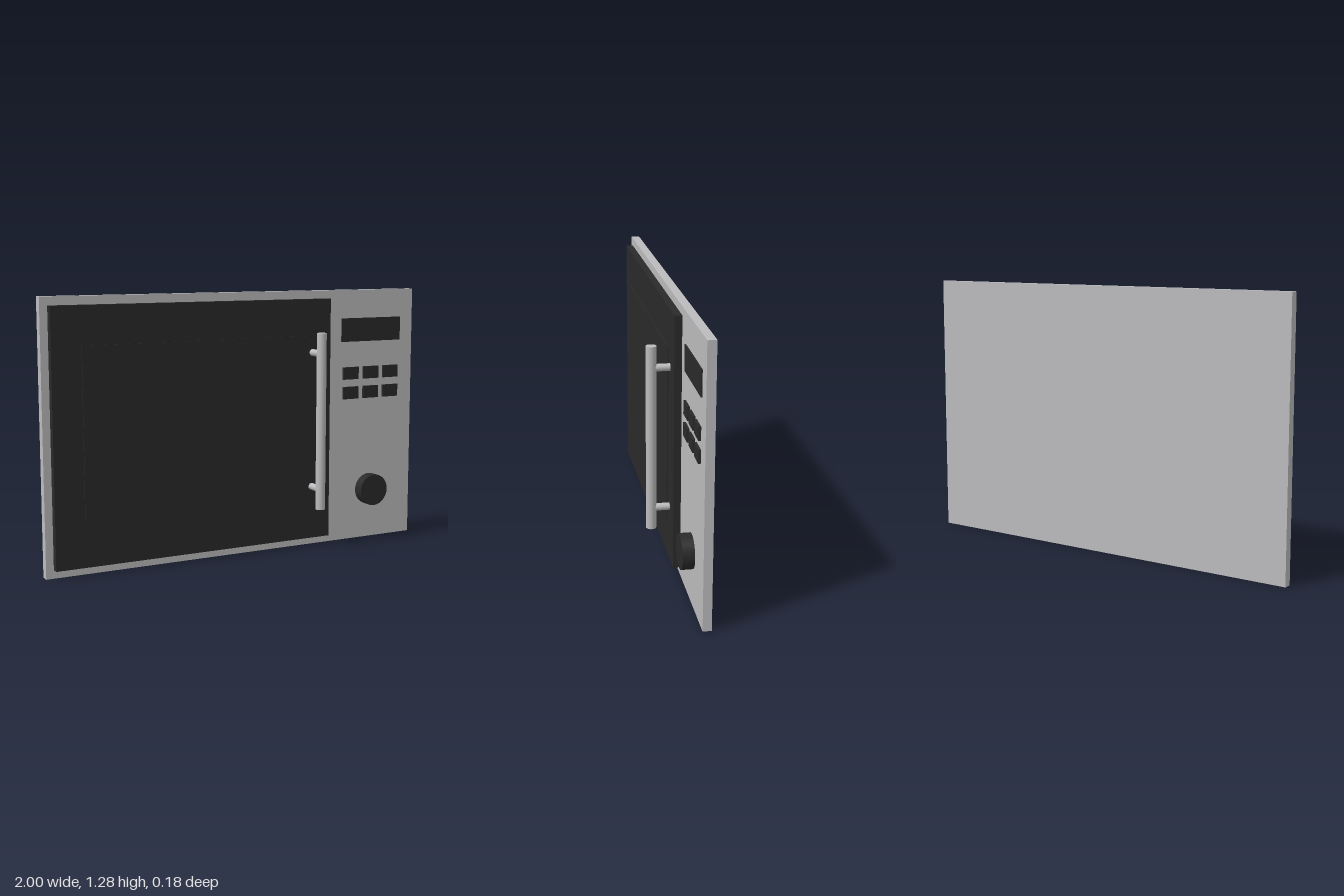
import * as THREE from 'three';

export function createModel() {
  const model = new THREE.Group();
  model.name = 'microwaveFront';

  const steel = new THREE.MeshStandardMaterial({ color: 0xbcbcbe });
  steel.name = 'brushedSteel';
  const black = new THREE.MeshStandardMaterial({ color: 0x2a2a2a });
  black.name = 'blackGlass';

  const add = (name, geometry, material, x, y, z) => {
    const mesh = new THREE.Mesh(geometry, material);
    mesh.name = name;
    mesh.position.set(x, y, z);
    model.add(mesh);
    return mesh;
  };

  // Box given by its limits on each axis
  const box = (name, material, [x0, x1], [y0, y1], [z0, z1]) =>
    add(name, new THREE.BoxGeometry(x1 - x0, y1 - y0, z1 - z0), material,
      (x0 + x1) / 2, (y0 + y1) / 2, (z0 + z1) / 2);

  // Cylinder lying along z
  const rod = (name, material, radius, x, y, z0, z1) => {
    const geometry = new THREE.CylinderGeometry(radius, radius, z1 - z0, 48);
    geometry.rotateX(Math.PI / 2);
    return add(name, geometry, material, x, y, (z0 + z1) / 2);
  };

  const face = -0.051; // front plane of the steel panel
  const doorFront = -0.017;

  // Panel, door and raised window
  box('frontPanel', steel, [-1, 1], [0, 1.28], [-0.091, face]);
  box('door', black, [-0.963, 0.485], [0.04, 1.24], [face, doorFront]);
  box('doorWindow', black, [-0.82, 0.34], [0.22, 1.06], [doorFront, -0.012]);

  // Bar handle on two posts
  const handleX = 0.382;
  add('handleBar', new THREE.CylinderGeometry(0.024, 0.024, 0.875, 32), steel, handleX, 0.642, 0.068);
  for (const y of [0.305, 0.978]) rod('handlePost', steel, 0.017, handleX, y, doorFront, 0.055);

  // Control column: display, two rows of three buttons, knob
  box('display', black, [0.57, 0.923], [1.02, 1.138], [face, -0.045]);
  for (const y of [0.76, 0.86]) {
    for (const x of [0.626, 0.746, 0.866]) {
      box('button', black, [x - 0.045, x + 0.045], [y - 0.031, y + 0.031], [face, -0.04]);
    }
  }
  rod('knob', black, 0.08, 0.746, 0.254, face, 0.003);

  return model;
}
